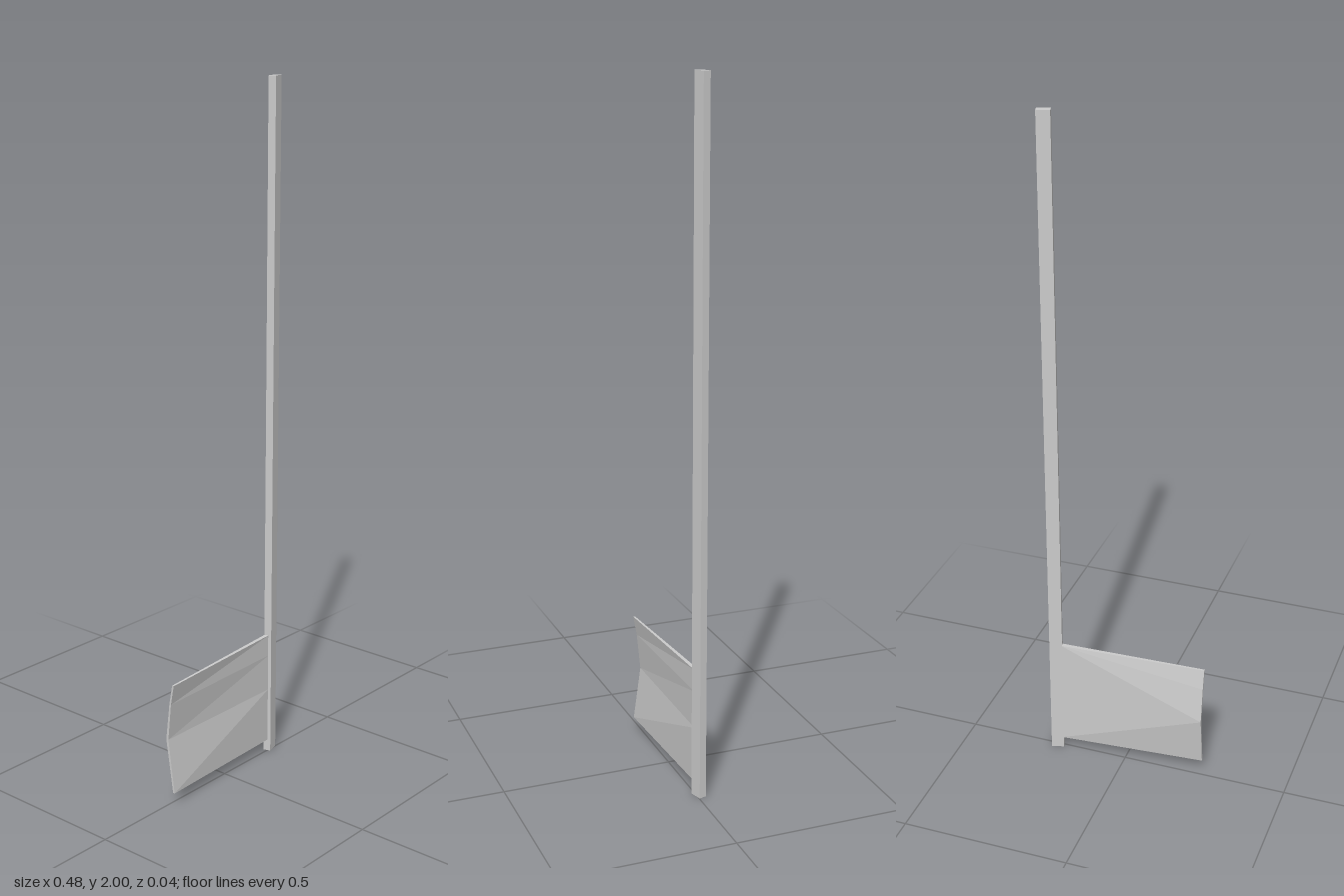
import * as THREE from 'three';

export function createModel() {
  const group = new THREE.Group();
  const material = new THREE.MeshStandardMaterial({ color: 0xcccccc, flatShading: true });

  // Upright pole: a slim rectangular bar, turned slightly about its axis
  const pole = new THREE.Mesh(new THREE.BoxGeometry(0.038, 2, 0.022), material);
  pole.name = 'pole';
  pole.position.set(0.217, 1, -0.0065);
  pole.rotation.y = 0.27;
  group.add(pole);

  // Banner cross-sections from top to bottom: [y, front z, back z]
  const section = (x, rows) => rows.map(([y, front, back]) => ({ f: [x, y, front], b: [x, y, back] }));
  const free = section(-0.24, [[0.37, 0.02, 0.014], [0.31, 0.009, 0.003], [0.2, -0.002, -0.01], [0.04, 0.02, 0.014]]);
  const fixed = section(0.2, [[0.375, 0, -0.012], [0.31, 0, -0.012], [0.2, 0, -0.012], [0.035, 0, -0.012]]);

  const positions = [];
  const tri = (a, b, c) => positions.push(...a, ...b, ...c);
  const quad = (a, b, c, d) => { tri(a, b, c); tri(a, c, d); };

  // Creased front face and the thin edges at both ends
  for (let i = 0; i < 3; i++) {
    const l = free[i], l2 = free[i + 1], r = fixed[i], r2 = fixed[i + 1];
    quad(l2.f, r2.f, r.f, l.f);
    quad(l2.b, l2.f, l.f, l.b);
    quad(r2.f, r2.b, r.b, r.f);
  }

  // Back face fans out from the fold in the free edge
  const top = fixed[0], bottom = fixed[3], fold = free[2];
  tri(top.b, bottom.b, fold.b);
  tri(top.b, fold.b, free[1].b);
  tri(top.b, free[1].b, free[0].b);
  tri(bottom.b, free[3].b, fold.b);

  // Top and bottom hems
  quad(free[0].f, top.f, top.b, free[0].b);
  quad(free[3].b, bottom.b, bottom.f, free[3].f);

  const geometry = new THREE.BufferGeometry();
  geometry.setAttribute('position', new THREE.Float32BufferAttribute(positions, 3));
  geometry.computeVertexNormals();
  const banner = new THREE.Mesh(geometry, material);
  banner.name = 'banner';
  group.add(banner);

  return group;
}
